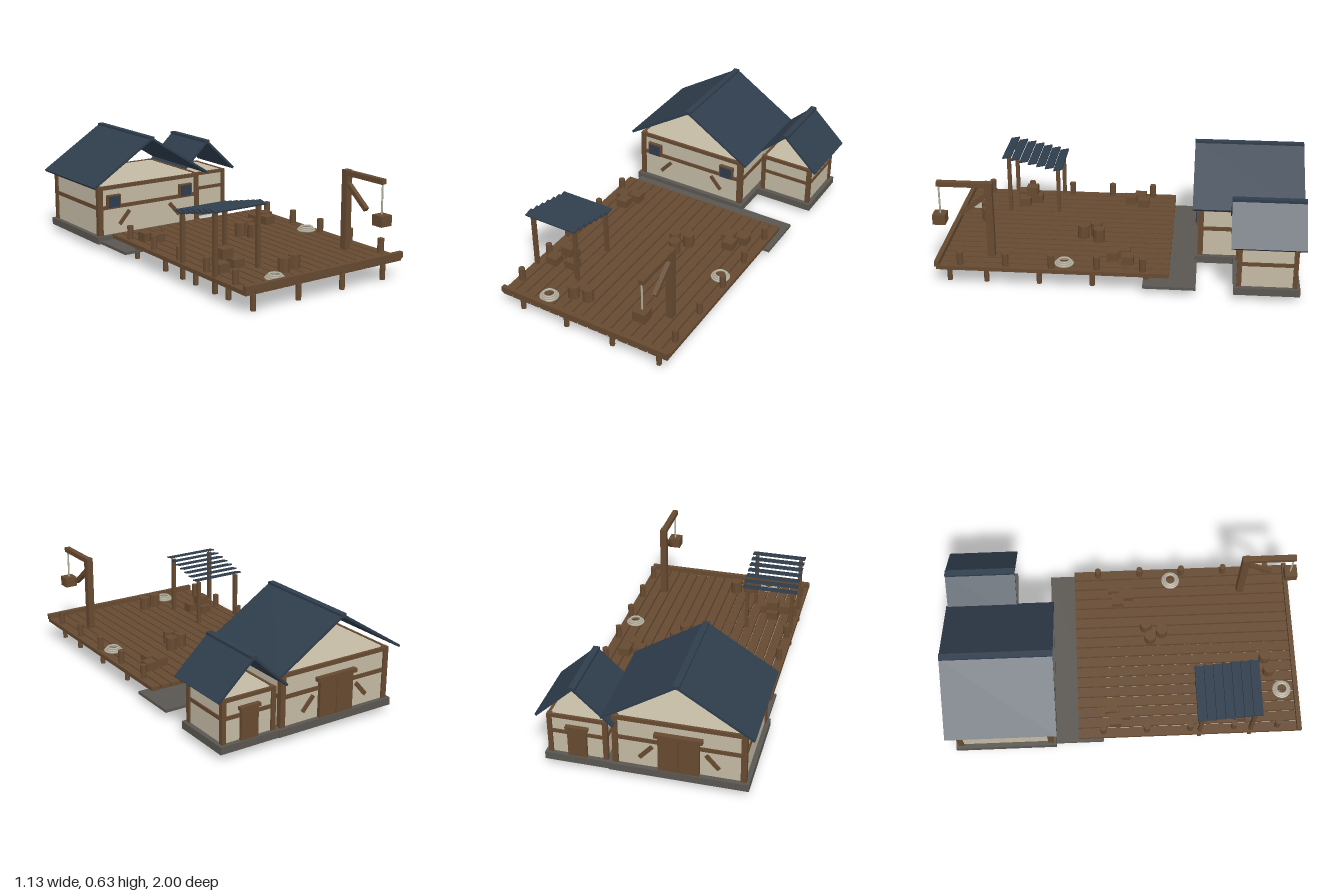
import * as THREE from 'three';

const mat = (name, color, extra) => Object.assign(new THREE.MeshStandardMaterial({ color }), { name }, extra);

export function createModel() {
  const root = new THREE.Group();
  root.name = 'harbourYard';
  const wood = mat('wood', 0x664a31, { flatShading: true });
  const plaster = mat('plaster', 0xc4baa4);
  const slate = mat('slate', 0x2f3d4c);
  const stone = mat('stone', 0x5a5751);
  const rope = mat('rope', 0xb5b09f);

  const group = (name, parent = root) => {
    const g = new THREE.Group();
    g.name = name;
    parent.add(g);
    return g;
  };
  const add = (parent, name, geo, material, x, y, z) => {
    const m = new THREE.Mesh(geo, material);
    m.name = name;
    m.position.set(x, y, z);
    parent.add(m);
    return m;
  };
  const box = (parent, name, material, w, h, d, x, y, z) =>
    add(parent, name, new THREE.BoxGeometry(w, h, d), material, x, y, z);
  // Box given by its limits on each axis
  const span = (parent, name, material, x0, x1, y0, y1, z0, z1) =>
    box(parent, name, material, x1 - x0, y1 - y0, z1 - z0, (x0 + x1) / 2, (y0 + y1) / 2, (z0 + z1) / 2);
  const drum = (parent, name, material, r, y0, y1, x, z, sides) =>
    add(parent, name, new THREE.CylinderGeometry(r, r, y1 - y0, sides), material, x, (y0 + y1) / 2, z);

  // Stone landing
  span(root, 'landing', stone, -0.517, 0.508, 0.037, 0.053, -0.424, -0.14);

  // Deck planks, front kerb and piles
  const deck = group('deck');
  const count = 17, step = 1.026 / count;
  for (let i = 0; i < count; i++)
    box(deck, 'plank', wood, step - 0.008, 0.022, 1.25, -0.518 + step * (i + 0.5), 0.114, 0.345);
  span(deck, 'kerb', wood, -0.518, 0.508, 0.12, 0.152, 0.953, 0.978);
  for (const x of [-0.429, -0.147, 0.141, 0.423])
    for (const z of [0.917, 0.714, 0.425, 0.136, -0.155])
      drum(deck, 'pile', wood, 0.0145, 0, 0.083, x, z, 8);
  for (const x of [-0.481, 0.475])
    for (const z of [-0.14, 0.105, 0.35, 0.597, 0.843])
      drum(deck, 'bollard', wood, 0.018, 0.12, 0.2, x, z, 8);

  // Half-timbered house, open under the roof
  function house(name, o) {
    const g = group(name);
    const { x0, x1, z0, z1, top, mid, post, beam } = o;
    span(g, 'base', stone, x0 - 0.016, x1 + 0.016, 0.037, 0.078, z0 - 0.016, z1 + 0.016);
    span(g, 'walls', plaster, x0 + 0.01, x1 - 0.01, 0.07, top - 0.004, z0 + 0.01, z1 - 0.01);
    for (const x of [x0 + post / 2, x1 - post / 2])
      for (const z of [z0 + post / 2, z1 - post / 2])
        box(g, 'cornerPost', wood, post, top - 0.075, post, x, (top + 0.075) / 2, z);
    for (const y of [top - beam / 2, mid]) {
      for (const z of [z0 + 0.01, z1 - 0.01])
        box(g, 'beam', wood, x1 - x0 - 0.01, beam, 0.014, (x0 + x1) / 2, y, z);
      for (const x of [x0 + 0.01, x1 - 0.01])
        box(g, 'sideBeam', wood, 0.014, beam, z1 - z0 - 0.01, x, y, (z0 + z1) / 2);
    }
    // Roof slopes and ridge cap
    const cx = (x0 + x1) / 2, t = 0.013;
    const run = o.eaveX - cx, rise = o.ridge - o.eaveY;
    const len = Math.hypot(run, rise), a = Math.atan2(rise, run);
    for (const s of [-1, 1]) {
      const slope = box(g, 'roofSlope', slate, len, t, o.roofZ1 - o.roofZ0,
        cx + s * run / 2, (o.ridge + o.eaveY) / 2, (o.roofZ0 + o.roofZ1) / 2);
      slope.rotation.z = -s * a;
    }
    span(g, 'ridgeCap', slate, cx - 0.017, cx + 0.017, o.ridge - 0.012, o.ridge + 0.009, o.roofZ0, o.roofZ1);
    return g;
  }
  const main = house('mainHouse', {
    x0: -0.52, x1: 0.172, z0: -0.962, z1: -0.425, top: 0.366, mid: 0.239, post: 0.03, beam: 0.022,
    eaveX: 0.214, eaveY: 0.371, ridge: 0.617, roofZ0: -1, roofZ1: -0.393,
  });
  const annex = house('sideHouse', {
    x0: 0.198, x1: 0.517, z0: -0.957, z1: -0.638, top: 0.313, mid: 0.21, post: 0.025, beam: 0.02,
    eaveX: 0.56, eaveY: 0.32, ridge: 0.51, roofZ0: -0.992, roofZ1: -0.602,
  });

  // Windows on the front
  for (const x of [-0.421, 0.072]) {
    box(main, 'windowFrame', wood, 0.088, 0.078, 0.02, x, 0.273, -0.426);
    box(main, 'windowPane', slate, 0.07, 0.064, 0.008, x, 0.273, -0.414);
  }
  // Short slanting braces on front and back
  for (const z of [-0.433, -0.954])
    for (const s of [-1, 1])
      box(main, 'brace', wood, 0.1, 0.022, 0.014, -0.174 + s * 0.172, 0.168, z).rotation.z = -s * 0.85;
  // Back doors
  for (const s of [-1, 1])
    box(main, 'doubleDoorLeaf', wood, 0.104, 0.205, 0.03, -0.174 + s * 0.054, 0.18, -0.958);
  box(main, 'doorLintel', wood, 0.25, 0.022, 0.038, -0.174, 0.29, -0.96);
  box(annex, 'backDoor', wood, 0.1, 0.165, 0.03, 0.358, 0.16, -0.952);
  box(annex, 'doorLintel', wood, 0.12, 0.018, 0.036, 0.358, 0.248, -0.954);

  // Slatted shelter
  const shelter = group('shelter');
  for (const x of [-0.495, -0.229]) {
    span(shelter, 'frontPost', wood, x - 0.0105, x + 0.0105, 0.037, 0.455, 0.68, 0.701);
    span(shelter, 'rearPost', wood, x - 0.0105, x + 0.0105, 0.037, 0.385, 0.393, 0.414);
  }
  for (let i = 0; i < 7; i++)
    box(shelter, 'roofSlat', slate, 0.316, 0.008, 0.052, -0.362, 0.466 - i * 0.0112, 0.699 - i * 0.0495)
      .rotation.x = 0.2;

  // Loading crane with a hanging crate
  const crane = group('crane'), cx = 0.359;
  span(crane, 'mast', wood, cx - 0.0185, cx + 0.0185, 0.12, 0.56, 0.672, 0.712);
  span(crane, 'arm', wood, cx - 0.016, cx + 0.016, 0.531, 0.558, 0.67, 0.972);
  box(crane, 'strut', wood, 0.024, 0.024, 0.19, cx, 0.432, 0.773).rotation.x = Math.atan2(0.116, 0.147);
  drum(crane, 'hoistRope', rope, 0.005, 0.37, 0.535, cx, 0.962, 6);
  box(crane, 'hangingCrate', wood, 0.072, 0.057, 0.07, cx, 0.343, 0.965);

  // Crates and barrels
  const cargo = group('cargo');
  const crates = [
    [-0.421, -0.07], [-0.347, -0.094], [-0.385, -0.014],
    [0.307, -0.03], [0.386, -0.053], [0.342, 0.03],
    [-0.418, 0.635], [-0.312, 0.615], [-0.36, 0.55],
  ];
  for (const [x, z] of crates) box(cargo, 'crate', wood, 0.066, 0.05, 0.066, x, 0.147, z);
  box(cargo, 'topCrate', wood, 0.066, 0.053, 0.066, -0.356, 0.199, 0.577);
  for (const [x, z] of [[0.061, 0.149], [0.135, 0.127], [0.098, 0.217], [-0.162, 0.817], [-0.082, 0.8]])
    drum(cargo, 'barrel', wood, 0.033, 0.12, 0.2, x, z, 10);

  // Coiled ropes
  for (const [x, z] of [[-0.273, 0.886], [0.427, 0.286]]) {
    const coil = group('ropeCoil');
    [0.047, 0.039, 0.031].forEach((r, i) => {
      const ring = add(coil, 'ropeRing', new THREE.TorusGeometry(r, 0.006, 6, 20), rope, x, 0.131 + i * 0.008, z);
      ring.rotation.x = Math.PI / 2;
    });
  }
  return root;
}
